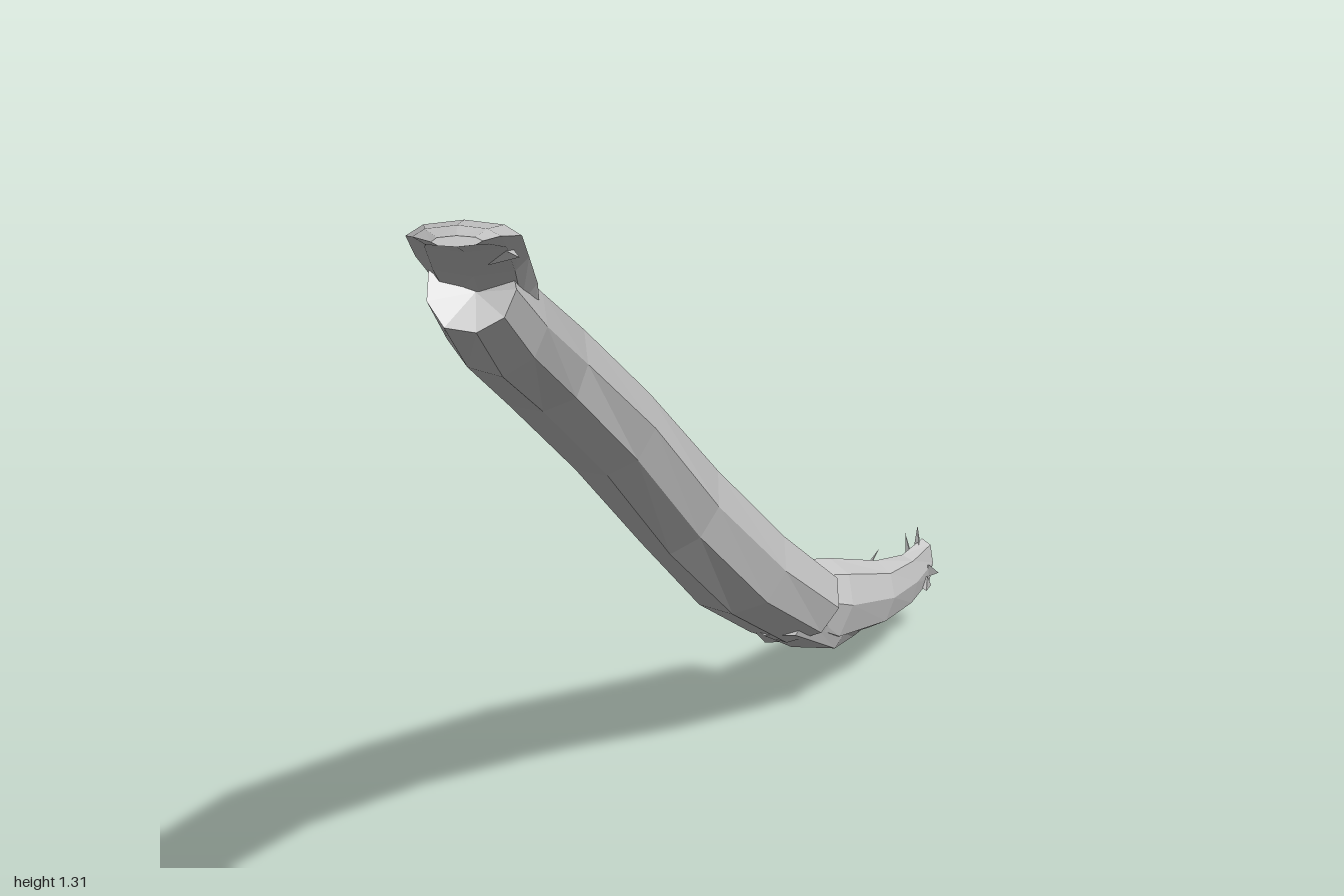
import * as THREE from 'three';

const material = new THREE.MeshStandardMaterial({ color: 0xcccccc, flatShading: true, side: THREE.DoubleSide });

function makeRandom(seed) {
  return () => {
    seed = (seed * 16807) % 2147483647;
    return seed / 2147483647;
  };
}

// Loft through sections [x, y, z, halfWidth, halfHeight], listed front to back.
// startDent and endDent sink the cap centres to give broken, hollow ends.
function loft(name, sections, { sides = 9, rough = 0.1, startDent = 0, endDent = 0, seed = 7 } = {}) {
  const random = makeRandom(seed);
  const centres = sections.map(s => new THREE.Vector3(s[0], s[1], s[2]));
  const ridges = Array.from({ length: sides }, () => 1 + (random() - 0.5) * rough);
  const positions = [], index = [];
  const n = sections.length;
  const tangentAt = i => centres[Math.min(i + 1, n - 1)].clone().sub(centres[Math.max(i - 1, 0)]).normalize();
  for (let i = 0; i < n; i++) {
    const t = tangentAt(i);
    const side = t.clone().cross(new THREE.Vector3(0, 1, 0)).normalize();
    const up = side.clone().cross(t);
    for (let j = 0; j < sides; j++) {
      const a = (j / sides) * Math.PI * 2;
      const r = ridges[j] * (1 + (random() - 0.5) * rough);
      const p = centres[i].clone()
        .addScaledVector(side, Math.cos(a) * sections[i][3] * r)
        .addScaledVector(up, Math.sin(a) * sections[i][4] * r);
      positions.push(p.x, p.y, p.z);
    }
  }
  const start = centres[0].clone().addScaledVector(tangentAt(0), startDent);
  const end = centres[n - 1].clone().addScaledVector(tangentAt(n - 1), -endDent);
  positions.push(...start.toArray(), ...end.toArray());
  for (let j = 0; j < sides; j++) {
    const k = (j + 1) % sides, last = (n - 1) * sides;
    for (let i = 0; i < n - 1; i++) {
      const a = i * sides + j, b = i * sides + k;
      index.push(a, a + sides, b, b, a + sides, b + sides);
    }
    index.push(n * sides, j, k, n * sides + 1, last + k, last + j);
  }
  const geometry = new THREE.BufferGeometry();
  geometry.setAttribute('position', new THREE.Float32BufferAttribute(positions, 3));
  geometry.setIndex(index);
  geometry.computeVertexNormals();
  const mesh = new THREE.Mesh(geometry, material);
  mesh.name = name;
  return mesh;
}

// Thin three-sided sliver of wood between two points
function splinter(from, to, radius) {
  const a = new THREE.Vector3(...from), b = new THREE.Vector3(...to);
  const direction = b.clone().sub(a);
  const mesh = new THREE.Mesh(new THREE.ConeGeometry(radius, direction.length(), 3), material);
  mesh.position.copy(a).add(b).multiplyScalar(0.5);
  mesh.quaternion.setFromUnitVectors(new THREE.Vector3(0, 1, 0), direction.normalize());
  mesh.name = 'splinter';
  return mesh;
}

export function createModel() {
  const branch = new THREE.Group();
  branch.name = 'brokenBranch';

  // Long faceted limb with a snapped face at each end
  branch.add(loft('limb', [
    [-0.412, 1.135, 0.63, 0.055, 0.055],
    [-0.37, 1.045, 0.5, 0.065, 0.062],
    [-0.29, 0.91, 0.25, 0.067, 0.068],
    [-0.17, 0.73, 0, 0.066, 0.074],
    [-0.045, 0.517, -0.25, 0.07, 0.078],
    [0.08, 0.335, -0.45, 0.08, 0.078],
    [0.185, 0.21, -0.6, 0.09, 0.068],
  ], { startDent: 0.02, endDent: 0.07, seed: 11 }));

  // Flat tongue of wood left above the snapped face
  branch.add(loft('upperTongue', [
    [-0.465, 1.305, 0.995, 0.028, 0.006],
    [-0.457, 1.287, 0.92, 0.048, 0.012],
    [-0.437, 1.25, 0.8, 0.065, 0.018],
    [-0.412, 1.178, 0.65, 0.067, 0.023],
    [-0.387, 1.115, 0.55, 0.061, 0.033],
    [-0.353, 1.02, 0.44, 0.045, 0.03],
  ], { sides: 8, rough: 0.06, seed: 23 }));

  // Two torn prongs and the thin floor joining them
  branch.add(loft('outerProng', [
    [0.145, 0.255, -0.52, 0.045, 0.045],
    [0.255, 0.19, -0.635, 0.047, 0.062],
    [0.355, 0.145, -0.75, 0.035, 0.052],
    [0.42, 0.125, -0.85, 0.024, 0.044],
    [0.47, 0.122, -0.93, 0.018, 0.04],
  ], { sides: 7, rough: 0.15, endDent: 0.03, seed: 31 }));
  branch.add(loft('innerProng', [
    [0.105, 0.265, -0.51, 0.035, 0.04],
    [0.17, 0.17, -0.625, 0.045, 0.045],
    [0.245, 0.112, -0.75, 0.034, 0.04],
    [0.335, 0.075, -0.88, 0.034, 0.03],
    [0.39, 0.045, -0.98, 0.025, 0.027],
  ], { sides: 7, rough: 0.15, endDent: 0.03, seed: 47 }));
  branch.add(loft('tornFloor', [
    [0.16, 0.21, -0.55, 0.06, 0.04],
    [0.225, 0.14, -0.65, 0.075, 0.03],
    [0.285, 0.1, -0.74, 0.05, 0.014],
  ], { sides: 7, rough: 0.2, seed: 59 }));

  // Slivers standing on the broken ends and inside the hollow
  [
    [[0.45, 0.13, -0.88], [0.462, 0.178, -0.945], 0.014],
    [[0.46, 0.12, -0.9], [0.495, 0.1, -0.93], 0.016],
    [[0.44, 0.12, -0.87], [0.443, 0.165, -0.95], 0.012],
    [[0.46, 0.1, -0.89], [0.485, 0.075, -0.94], 0.014],
    [[0.37, 0.05, -0.94], [0.425, 0.003, -0.995], 0.014],
    [[0.37, 0.06, -0.93], [0.41, 0.085, -1.0], 0.014],
    [[0.33, 0.09, -0.86], [0.4, 0.14, -0.95], 0.012],
    [[0.22, 0.24, -0.58], [0.29, 0.19, -0.74], 0.025],
    [[0.17, 0.22, -0.58], [0.25, 0.17, -0.7], 0.025],
    [[0.3, 0.12, -0.7], [0.37, 0.1, -0.78], 0.018],
    [[-0.4, 1.21, 0.72], [-0.38, 1.23, 0.825], 0.02],
  ].forEach(([from, to, radius]) => branch.add(splinter(from, to, radius)));

  return branch;
}
